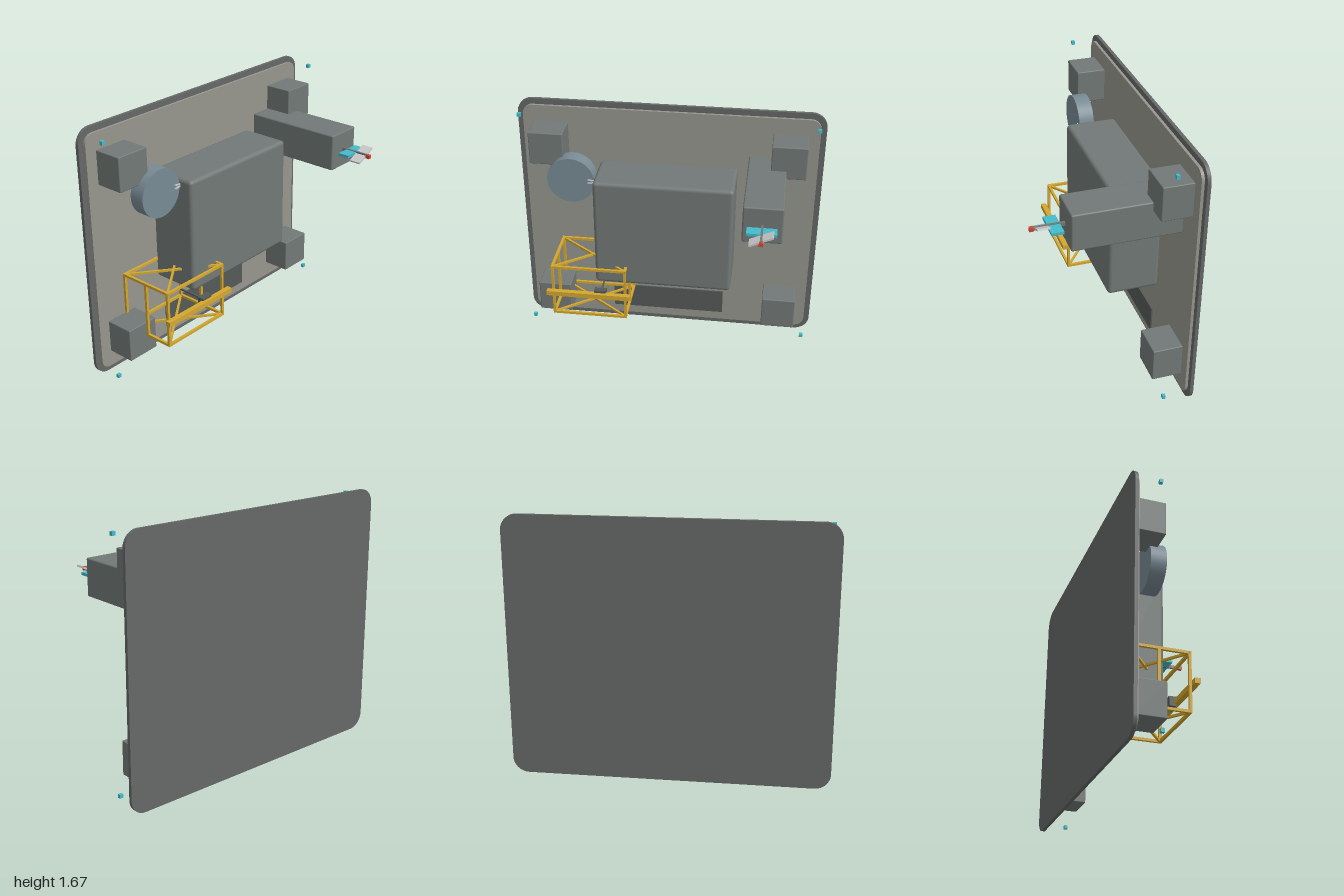
import * as THREE from 'three';
import { RoundedBoxGeometry } from 'three/addons/geometries/RoundedBoxGeometry.js';

const mat = (color) => new THREE.MeshStandardMaterial({ color });
const M = {
  plate: mat(0x666868), face: mat(0x96968e), body: mat(0x727977), disc: mat(0x788a94),
  dark: mat(0x555a58), gold: mat(0xd4a830), teal: mat(0x45bccb), red: mat(0xd84530), light: mat(0xcccccc),
};

export function createModel() {
  const root = new THREE.Group();

  const add = (name, geo, material, parent = root) => {
    const mesh = new THREE.Mesh(geo, material);
    mesh.name = name;
    parent.add(mesh);
    return mesh;
  };
  // Box given by its limits on each axis, optionally with rounded edges
  const box = (name, [x0, x1], [y0, y1], [z0, z1], material, r = 0, parent = root) => {
    const s = [x1 - x0, y1 - y0, z1 - z0];
    const geo = r ? new RoundedBoxGeometry(...s, 3, r) : new THREE.BoxGeometry(...s);
    const mesh = add(name, geo, material, parent);
    mesh.position.set((x0 + x1) / 2, (y0 + y1) / 2, (z0 + z1) / 2);
    return mesh;
  };
  // Upright panel with rounded corners
  const panel = (name, w, y0, y1, z0, z1, r, material) => {
    const s = new THREE.Shape();
    s.moveTo(-w + r, y0);
    s.lineTo(w - r, y0).absarc(w - r, y0 + r, r, -Math.PI / 2, 0);
    s.lineTo(w, y1 - r).absarc(w - r, y1 - r, r, 0, Math.PI / 2);
    s.lineTo(-w + r, y1).absarc(-w + r, y1 - r, r, Math.PI / 2, Math.PI);
    s.lineTo(-w, y0 + r).absarc(-w + r, y0 + r, r, Math.PI, Math.PI * 1.5);
    const geo = new THREE.ExtrudeGeometry(s, { depth: z1 - z0, bevelEnabled: false, curveSegments: 10 });
    add(name, geo, material).position.z = z0;
  };
  // Square bar between two points
  const bar = (name, a, b, t, material, parent = root) => {
    const p = new THREE.Vector3(...a), q = new THREE.Vector3(...b);
    const mesh = add(name, new THREE.BoxGeometry(t, t, p.distanceTo(q) + t), material, parent);
    mesh.position.copy(p).lerp(q, 0.5);
    mesh.lookAt(q);
  };

  // Wall plate, facing and recessed strip
  panel('backPlate', 1, 0, 1.67, -0.46, -0.438, 0.1, M.plate);
  panel('facePanel', 0.963, 0.04, 1.632, -0.438, -0.42, 0.065, M.face);
  box('lowerStrip', [-0.39, 0.385], [0.105, 0.28], [-0.43, -0.411], M.dark);

  // Main housing and projecting arm
  box('mainHousing', [-0.455, 0.45], [0.515, 1.27], [-0.42, -0.085], M.body, 0.025);
  box('projectingArm', [0.52, 0.765], [1.12, 1.36], [-0.42, 0.25], M.body, 0.01);

  // Corner blocks and floating corner markers
  for (const s of [-1, 1]) {
    const x = s * 0.777;
    for (const y of [0.26, 1.415])
      box('cornerBlock', [x - 0.112, x + 0.112], [y - 0.11, y + 0.11], [-0.42, -0.23], M.body, 0.006);
    for (const y of [0.053, 1.622])
      box('cornerMarker', [s * 0.95 - 0.012, s * 0.95 + 0.012], [y - 0.012, y + 0.012], [-0.295, -0.275], M.teal);
  }

  // Round drum with two contact prongs
  const drum = add('drum', new THREE.CylinderGeometry(0.155, 0.155, 0.1, 48), M.disc);
  drum.rotation.x = Math.PI / 2;
  drum.position.set(-0.612, 1.225, -0.23);
  for (const s of [-1, 1])
    bar('prong', [-0.495, 1.228 + s * 0.011, -0.177], [-0.452, 1.228 + s * 0.007, -0.177], 0.008, M.light);

  // Open cage: rails, posts and crossed braces
  const cage = new THREE.Group();
  cage.name = 'cage';
  root.add(cage);
  const X = [-0.737, -0.248], Y = [0.278, 0.642], Z = [-0.411, -0.037], T = 0.017;
  for (const y of Y) {
    for (const z of Z) bar('crossRail', [X[0], y, z], [X[1], y, z], T, M.gold, cage);
    for (const x of X) bar('sideRail', [x, y, Z[0]], [x, y, Z[1]], T, M.gold, cage);
    bar('brace', [X[0], y, Z[0]], [X[1], y, Z[1]], 0.014, M.gold, cage);
    bar('brace', [X[0], y, Z[1]], [X[1], y, Z[0]], 0.014, M.gold, cage);
  }
  for (const x of X)
    for (const z of [Z[0], -0.223, Z[1]])
      box('post', [x - T / 2, x + T / 2], Y, [z - T / 2, z + T / 2], M.gold, 0, cage);
  box('frontBeam', [-0.775, -0.21], [0.442, 0.475], [-0.022, 0.013], M.gold, 0, cage);
  box('slider', [-0.455, -0.375], [0.428, 0.49], [-0.055, -0.01], M.dark, 0, cage);
  box('sliderRod', [-0.42, -0.41], [0.455, 0.465], [-0.25, -0.05], M.dark, 0, cage);

  // Vaned probe on the arm
  const probe = new THREE.Group();
  probe.name = 'probe';
  root.add(probe);
  box('probeRod', [0.634, 0.648], [1.226, 1.249], [0.245, 0.44], M.body, 0, probe);
  box('flatVane', [0.549, 0.732], [1.227, 1.245], [0.28, 0.355], M.teal, 0, probe);
  const vane = box('tiltedVane', [0.564, 0.718], [1.23, 1.242], [0.355, 0.43], M.light, 0, probe);
  vane.rotation.z = 0.43;
  box('probeTip', [0.629, 0.653], [1.224, 1.248], [0.436, 0.46], M.red, 0, probe);

  return root;
}
